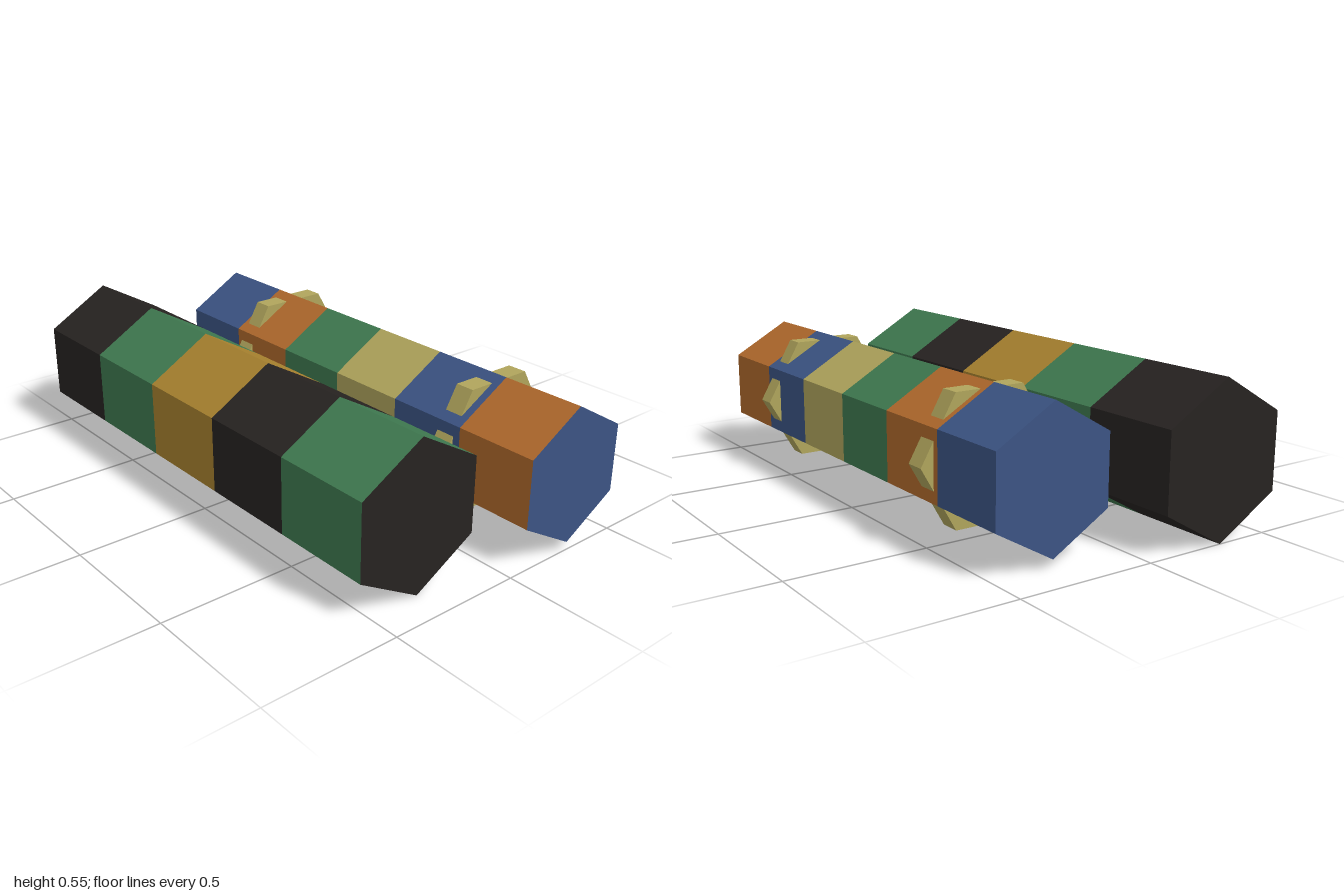
import * as THREE from 'three';

const COLORS = {
  black: 0x272321, green: 0x3f7a50, gold: 0xa8822f,
  blue: 0x3c5484, orange: 0xb0692c, khaki: 0xb0a55c,
};
const materials = {};
for (const [name, color] of Object.entries(COLORS)) {
  materials[name] = new THREE.MeshStandardMaterial({ color, flatShading: true });
}

// Six-sided prism lying along x between x0 and x1
function hexPrism(name, radius, x0, x1, color, thetaStart, open) {
  const geometry = new THREE.CylinderGeometry(radius, radius, x1 - x0, 6, 1, open, thetaStart);
  geometry.rotateZ(-Math.PI / 2);
  const mesh = new THREE.Mesh(geometry, materials[color]);
  mesh.position.x = (x0 + x1) / 2;
  mesh.name = name;
  return mesh;
}

// Hexagonal bar, corner up, painted in equal stripes with plain ends
function stripedBar(name, radius, x0, x1, stripes, capColor) {
  const bar = new THREE.Group();
  bar.name = name;
  const step = (x1 - x0) / stripes.length;
  stripes.forEach((color, i) => {
    bar.add(hexPrism(`stripe${i + 1}`, radius, x0 + i * step, x0 + (i + 1) * step, color, Math.PI / 2, true));
  });
  for (const [side, x, turn] of [['rightEnd', x0, -1], ['leftEnd', x1, 1]]) {
    const geometry = new THREE.CircleGeometry(radius, 6, Math.PI / 2);
    geometry.rotateY(turn * Math.PI / 2);
    const cap = new THREE.Mesh(geometry, materials[capColor]);
    cap.position.x = x;
    cap.name = side;
    bar.add(cap);
  }
  return bar;
}

export function createModel() {
  const model = new THREE.Group();
  model.name = 'stripedBars';

  // Larger front bar
  const front = stripedBar('frontBar', 0.275, -1, 0.88,
    ['black', 'green', 'gold', 'black', 'green'], 'black');
  front.position.set(0, 0.275, 0.302);
  model.add(front);

  // Smaller rear bar
  const rear = stripedBar('rearBar', 0.248, -0.866, 1,
    ['blue', 'orange', 'green', 'khaki', 'blue', 'orange'], 'blue');
  rear.position.set(0, 0.277, -0.277);
  model.add(rear);

  // Collars turned flat side up, so only their corners stand out of the rear bar
  for (const x of [-0.497, 0.624]) {
    rear.add(hexPrism('collar', 0.262, x - 0.036, x + 0.036, 'khaki', 0, false));
  }

  return model;
}
